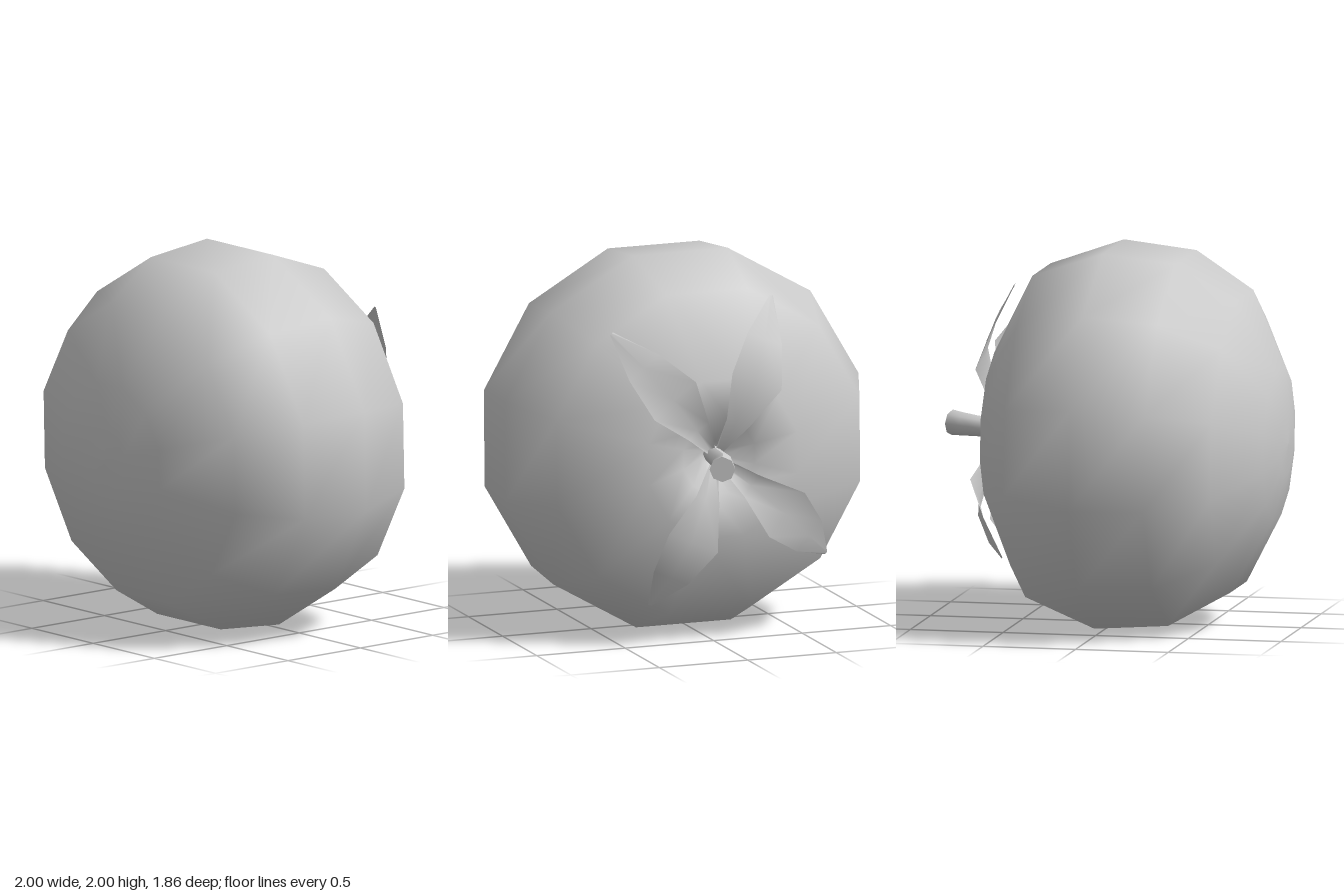
import * as THREE from 'three';

const material = new THREE.MeshStandardMaterial({ color: 0xcccccc });
const thin = new THREE.MeshStandardMaterial({ color: 0xcccccc, side: THREE.DoubleSide });

function part(name, geometry, mat = material) {
  const mesh = new THREE.Mesh(geometry, mat);
  mesh.name = name;
  return mesh;
}

// Twelve-sided fruit turned around the z axis, with a dimple at the back
function makeFruit() {
  const profile = [
    [0, -0.46], [0.06, -0.48], [0.2, -0.58], [0.42, -0.64], [0.857, -0.42], [1, -0.035],
    [0.965, 0.36], [0.778, 0.68], [0.395, 0.88], [0.16, 0.925], [0, 0.932],
  ];
  const toCorner = 1 / Math.cos(Math.PI / 12);
  const points = profile.map(([r, z]) => new THREE.Vector2(r * toCorner, z));
  const fruit = part('fruit', new THREE.LatheGeometry(points, 12, Math.PI / 12));
  fruit.rotation.x = Math.PI / 2 + 0.022;
  return fruit;
}

// Curved stem that widens towards its cut end
function makeStem() {
  const curve = new THREE.CatmullRomCurve3([
    new THREE.Vector3(0, 0.01, -0.44), new THREE.Vector3(0.025, 0.01, -0.64),
    new THREE.Vector3(0.05, 0.015, -0.77), new THREE.Vector3(0.107, 0.02, -0.905),
  ]);
  const rings = 6, sides = 8;
  const radius = (t) => 0.046 + 0.022 * t * t;
  const tube = new THREE.TubeGeometry(curve, rings, 1, sides);
  const pos = tube.attributes.position;
  const v = new THREE.Vector3();
  for (let i = 0; i < pos.count; i++) {
    const t = Math.floor(i / (sides + 1)) / rings;
    const centre = curve.getPointAt(t);
    v.fromBufferAttribute(pos, i).sub(centre).multiplyScalar(radius(t)).add(centre);
    pos.setXYZ(i, v.x, v.y, v.z);
  }
  tube.computeVertexNormals();

  const cap = part('stemEnd', new THREE.CircleGeometry(radius(1), sides), thin);
  const end = curve.getPointAt(1);
  cap.position.copy(end);
  cap.lookAt(end.clone().add(curve.getTangentAt(1)));

  const stem = new THREE.Group();
  stem.name = 'stem';
  stem.add(part('stemShaft', tube, thin), cap);
  return stem;
}

// Pointed leaf along +x, creased down its middle, following the fruit's back
function makeLeaf(length) {
  // distance from axis, half width, z of the middle, z of the edges
  const rows = [
    [0.03, 0.02, -0.52, -0.54], [0.22, 0.07, -0.62, -0.65], [0.46, 0.15, -0.665, -0.69],
    [0.68, 0.105, -0.595, -0.59], [1, 0.01, -0.475, -0.47],
  ];
  const positions = [], index = [];
  rows.forEach(([r, w, zMid, zEdge], i) => {
    const x = i === rows.length - 1 ? length : r;
    positions.push(x, -w, zEdge, x, 0, zMid, x, w, zEdge);
    if (i === 0) return;
    for (let k = 0; k < 2; k++) {
      const a = (i - 1) * 3 + k, b = a + 3;
      index.push(a, a + 1, b, b, a + 1, b + 1);
    }
  });
  const geometry = new THREE.BufferGeometry();
  geometry.setAttribute('position', new THREE.Float32BufferAttribute(positions, 3));
  geometry.setIndex(index);
  geometry.computeVertexNormals();
  return part('leaf', geometry, thin);
}

export function createModel() {
  const model = new THREE.Group();
  model.name = 'tomato';
  const leaves = new THREE.Group();
  leaves.name = 'leaves';
  for (const [degrees, length] of [[51, 0.9], [112, 0.9], [222, 0.87], [294, 0.86]]) {
    const leaf = makeLeaf(length);
    leaf.rotation.z = THREE.MathUtils.degToRad(degrees);
    leaves.add(leaf);
  }
  model.add(makeFruit(), makeStem(), leaves);
  for (const child of model.children) child.position.y = 1.005;
  return model;
}
